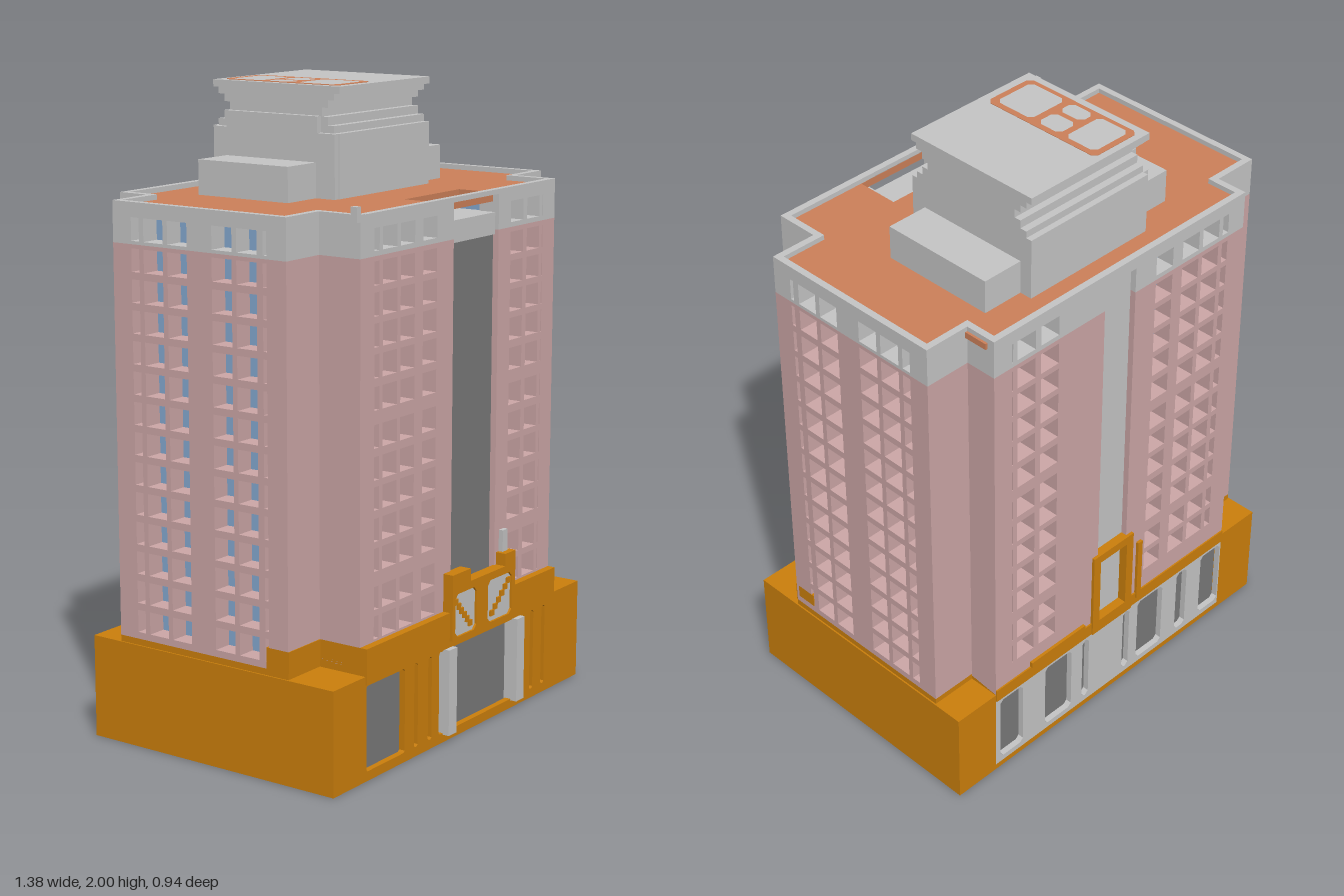
import * as THREE from 'three';

const paint = (name, color) => {
  const m = new THREE.MeshStandardMaterial({ color });
  m.name = name;
  return m;
};

export function createModel() {
  const pink = paint('pink wall', 0xcca6a6);
  const grey = paint('light grey', 0xc4c4c4);
  const ochre = paint('ochre', 0xcb7f0c);
  const clay = paint('terracotta', 0xcc8059);
  const dark = paint('dark grey', 0x787878);
  const blue = paint('blue glass', 0x84a8d0);
  const model = new THREE.Group();
  model.name = 'towerBlock';

  const add = (name, geo, mat, parent = model) => {
    const mesh = new THREE.Mesh(geo, mat);
    mesh.name = name;
    parent.add(mesh);
    return mesh;
  };
  const box = (name, mat, x0, x1, y0, y1, z0, z1) => {
    const g = new THREE.BoxGeometry(x1 - x0, y1 - y0, z1 - z0);
    g.translate((x0 + x1) / 2, (y0 + y1) / 2, (z0 + z1) / 2);
    return add(name, g, mat);
  };
  const polygon = pts => new THREE.Shape(pts.map(p => new THREE.Vector2(p[0], p[1])));
  const rect = (a, b, c, d) => [[a, c], [b, c], [b, d], [a, d]];
  // Rectangle with chopped corners
  const chopped = (a, b, c, d, k) => [[a + k, c], [b - k, c], [b, c + k], [b, d - k],
    [b - k, d], [a + k, d], [a, d - k], [a, c + k]];
  const extrude = (pts, holes, depth) => {
    const s = polygon(pts);
    holes.forEach(h => s.holes.push(polygon(h)));
    return new THREE.ExtrudeGeometry(s, { depth, bevelEnabled: false });
  };
  // Upright wall with openings, turned to face its own side
  const wall = (name, mat, angle, dist, u0, u1, y0, y1, holes = [], depth = 0.07) => {
    const g = extrude(rect(u0, u1, y0, y1), holes, depth);
    g.translate(0, 0, dist - depth);
    g.rotateY(angle);
    return add(name, g, mat);
  };
  // Flat outline in (x, z), raised from y0 to y1
  const slab = (name, mat, pts, holes, y0, y1) => {
    const flip = a => a.map(p => [p[0], -p[1]]);
    const g = extrude(flip(pts), holes.map(flip), y1 - y0);
    g.rotateX(-Math.PI / 2);
    g.translate(0, y0, 0);
    return add(name, g, mat);
  };

  const F = 0, R = Math.PI / 2, B = Math.PI, L = -Math.PI / 2;
  const SPLIT = 1.555, EAVES = 1.64;

  // Podium
  box('podiumBase', ochre, -0.69, 0.69, 0, 0.02, -0.465, 0.445);
  box('podiumCore', dark, -0.53, 0.53, 0.02, 0.3, -0.44, 0.42);
  box('podiumTop', ochre, -0.69, 0.69, 0.3, 0.325, -0.465, 0.445);
  for (const s of [-1, 1]) {
    box('podiumEnd', ochre, s < 0 ? -0.69 : 0.53, s < 0 ? -0.53 : 0.69, 0.02, 0.3, -0.465, 0.445);
  }
  const shopOpenings = [[-0.525, -0.325], [-0.275, -0.255], [-0.2, -0.18], [-0.14, 0.32],
    [0.39, 0.41], [0.46, 0.48]];
  wall('shopFront', ochre, F, 0.445, -0.53, 0.53, 0.02, 0.3,
    shopOpenings.map(([a, b]) => chopped(a, b, 0.03, 0.295, 0.006)), 0.02);
  const rearOpenings = [[-0.51, -0.41], [-0.31, -0.19], [-0.14, -0.11], [0.05, 0.08],
    [0.12, 0.24], [0.31, 0.36], [0.43, 0.525]];
  wall('rearShopFront', grey, B, 0.465, -0.53, 0.53, 0.02, 0.3,
    rearOpenings.map(([a, b]) => chopped(a, b, 0.04, 0.285, 0.012)), 0.02);
  for (const x of [-0.095, 0.298]) {
    box('entranceColumn', grey, x - 0.022, x + 0.022, 0.025, 0.3, 0.42, 0.467);
  }

  // Plinths under the tower
  box('sidePlinth', ochre, -0.685, 0.685, 0.325, 0.345, -0.36, 0.28);
  box('rearPlinth', ochre, -0.53, 0.53, 0.325, 0.345, -0.465, -0.3);
  box('wingPlinth', ochre, -0.685, 0.685, 0.345, 0.41, 0.2, 0.283);
  box('frontBand', ochre, -0.53, 0.53, 0.3, 0.41, 0.28, 0.45);

  // Window grid
  const frontTops = [1.64, 1.54, 1.45, 1.36, 1.27, 1.175, 1.063, 0.968, 0.878, 0.783, 0.693, 0.577, 0.487];
  const sideTops = Array.from({ length: 14 }, (_, i) => 1.635 - i * 0.0922);
  const leftCols = [-0.508, -0.418, -0.328, -0.212];
  const rightCols = [0.27, 0.365, 0.455];
  const sideCols = [-0.27, -0.175, -0.085, 0.08, 0.17, 0.26];
  const negate = cols => cols.map(c => -c - 0.073);

  // Storeys: pink below, grey crown above, window openings through both
  const facade = (name, angle, dist, u0, u1, y0, cols = [], tops = []) => {
    const holes = tops.flatMap(t => cols.map(c =>
      rect(c, c + 0.073, t - 0.07, Math.min(t, EAVES - 0.004))));
    const isCrown = h => h[0][1] > SPLIT;
    wall(name, pink, angle, dist, u0, u1, y0, SPLIT, holes.filter(h => !isCrown(h)));
    wall(name + 'Crown', grey, angle, dist, u0, u1, SPLIT, EAVES, holes.filter(isCrown));
  };
  facade('frontWallRight', F, 0.425, -0.53, -0.05, 0.41, leftCols, frontTops);
  facade('frontWallLeft', F, 0.425, 0.2, 0.53, 0.41, rightCols, frontTops);
  facade('backWallRight', B, 0.465, 0.05, 0.53, 0.345, negate(leftCols), frontTops);
  facade('backWallLeft', B, 0.465, -0.53, -0.08, 0.345, negate(rightCols), frontTops);
  facade('leftWall', R, 0.685, -0.28, 0.36, 0.345, sideCols, sideTops);
  facade('rightWall', L, 0.685, -0.36, 0.28, 0.345, negate(sideCols), sideTops);

  // Blank walls around the notched corners
  facade('wingFront', F, 0.28, 0.53, 0.685, 0.41);
  facade('wingFront', F, 0.28, -0.685, -0.53, 0.41);
  facade('wingBack', B, 0.36, 0.53, 0.685, 0.345);
  facade('wingBack', B, 0.36, -0.685, -0.53, 0.345);
  facade('cornerReturn', R, 0.53, -0.425, -0.27, 0.345);
  facade('cornerReturn', R, 0.53, 0.35, 0.465, 0.325);
  facade('cornerReturn', L, 0.53, 0.27, 0.425, 0.345);
  facade('cornerReturn', L, 0.53, -0.465, -0.35, 0.325);

  // Glazing behind the openings
  box('innerGlazing', grey, -0.47, 0.47, 0.33, 1.605, -0.4, 0.36);
  box('innerGlazingSides', grey, -0.62, 0.62, 0.33, 1.605, -0.3, 0.22);
  box('topGlazing', blue, -0.47, 0.47, 1.605, EAVES, -0.4, 0.26);
  box('topGlazingSides', blue, -0.62, 0.62, 1.605, EAVES, -0.3, 0.22);
  box('topGlazingFront', blue, -0.47, -0.07, 1.605, EAVES, 0.26, 0.36);
  box('topGlazingFront', blue, 0.23, 0.47, 1.605, EAVES, 0.26, 0.36);
  box('rearBluePanes', blue, -0.52, -0.13, 0.4, 1.64, -0.404, -0.396);
  box('sideBluePanes', blue, -0.624, -0.616, 0.36, 1.64, -0.34, 0.27);

  // Tall central strips
  box('frontStrip', dark, -0.05, 0.2, 0.41, 1.54, 0.34, 0.405);
  box('frontStripHead', grey, -0.05, 0.2, 1.54, 1.608, 0.26, 0.412);
  box('rearStrip', grey, -0.05, 0.08, 0.345, EAVES, -0.445, -0.38);

  // Roof deck with a light well, and its parapet
  const outline = i => [[0.53 - i, 0.425 - i], [0.53 - i, 0.28 - i], [0.685 - i, 0.28 - i],
    [0.685 - i, -0.36 + i], [0.53 - i, -0.36 + i], [0.53 - i, -0.465 + i],
    [-0.53 + i, -0.465 + i], [-0.53 + i, -0.36 + i], [-0.685 + i, -0.36 + i],
    [-0.685 + i, 0.28 - i], [-0.53 + i, 0.28 - i], [-0.53 + i, 0.425 - i]];
  const t = 0.022;
  slab('roofDeck', clay, outline(t), [rect(-0.07, 0.23, 0.26, 0.402)], EAVES, 1.664);
  slab('parapetBase', grey, [[0.2, 0.425], ...outline(0), [-0.05, 0.425], [-0.05, 0.425 - t],
    ...outline(t).reverse(), [0.2, 0.425 - t]], [], EAVES, 1.665);
  slab('parapetRail', grey, outline(0), [outline(t)], 1.665, 1.68);
  box('cornerFinial', grey, -0.55, -0.53, 1.66, 1.705, 0.405, 0.427);
  box('cornerFinialArm', grey, -0.55, -0.51, 1.66, 1.682, 0.403, 0.427);
  box('cornerLedge', clay, 0.53, 0.538, 1.645, 1.665, -0.44, -0.36);

  // Penthouse with a stepped waist
  const half = [[0.24, 1.66], [0.24, 1.86], [0.22, 1.86], [0.22, 1.882], [0.197, 1.882], [0.197, 1.908],
    [0.175, 1.908], [0.175, 1.935], [0.197, 1.935], [0.197, 1.958], [0.22, 1.958], [0.22, 1.978],
    [0.24, 1.978], [0.24, 2]];
  const profile = [...half, ...half.map(([z, y]) => [-z, y]).reverse()];
  const pent = extrude(profile, [], 0.48);
  pent.rotateY(Math.PI / 2);
  pent.translate(-0.185, 0, -0.137);
  add('penthouse', pent, grey);
  box('penthouseEndPlate', grey, -0.205, -0.185, 1.66, 1.86, -0.36, 0.1);
  box('penthouseEndPlateTop', grey, -0.205, -0.185, 1.86, 1.91, -0.31, 0.035);
  box('plantRoomRight', grey, -0.345, -0.2, 1.66, 1.772, -0.31, 0.03);
  box('plantRoomLeft', grey, 0.29, 0.435, 1.66, 1.772, -0.335, 0.053);
  slab('roofMarking', clay, chopped(-0.16, 0.02, -0.355, 0.075, 0.015), [
    chopped(-0.145, 0, -0.335, -0.22, 0.015), chopped(-0.145, -0.09, -0.198, -0.11, 0.015),
    chopped(-0.072, 0, -0.198, -0.11, 0.015), chopped(-0.145, 0, -0.085, 0.055, 0.015),
  ], 1.999, 2.0015);

  // Entrance ornament: two framed openings with stepped braces
  const frame = extrude([[-0.09, 0.32], [0.27, 0.32], [0.27, 0.53], [0.21, 0.53], [0.21, 0.49],
    [0.01, 0.49], [0.01, 0.53], [-0.09, 0.53]],
  [chopped(-0.075, 0.045, 0.328, 0.465, 0.015), chopped(0.11, 0.25, 0.328, 0.465, 0.015)], 0.04);
  frame.translate(0, 0, 0.42);
  add('entranceFrame', frame, ochre);
  box('frameBackingRight', grey, -0.08, 0.05, 0.325, 0.47, 0.42, 0.453);
  box('frameBackingLeft', grey, 0.105, 0.255, 0.325, 0.47, 0.42, 0.453);
  for (let i = 0; i < 6; i++) {
    const y = 0.345 + i * 0.017;
    box('braceStepRight', ochre, 0.005 - i * 0.016, 0.023 - i * 0.016, y, y + 0.019, 0.45, 0.459);
    box('braceStepLeft', ochre, 0.13 + i * 0.019, 0.151 + i * 0.019, y, y + 0.019, 0.45, 0.459);
  }
  box('entrancePost', grey, 0.225, 0.253, 0.53, 0.6, 0.42, 0.44);

  // Rear doorway frame
  wall('rearDoorFrame', ochre, B, 0.475, -0.105, 0.075, 0.3, 0.62, [rect(-0.075, 0.045, 0.345, 0.59)], 0.03);
  box('rearDoorPost', ochre, -0.12, -0.1, 0.325, 0.56, -0.475, -0.45);
  box('rearBand', ochre, -0.53, 0.53, 0.3, 0.345, -0.47, -0.45);
  box('rearCanopy', ochre, 0.14, 0.38, 0.345, 0.365, -0.475, -0.455);

  return model;
}
